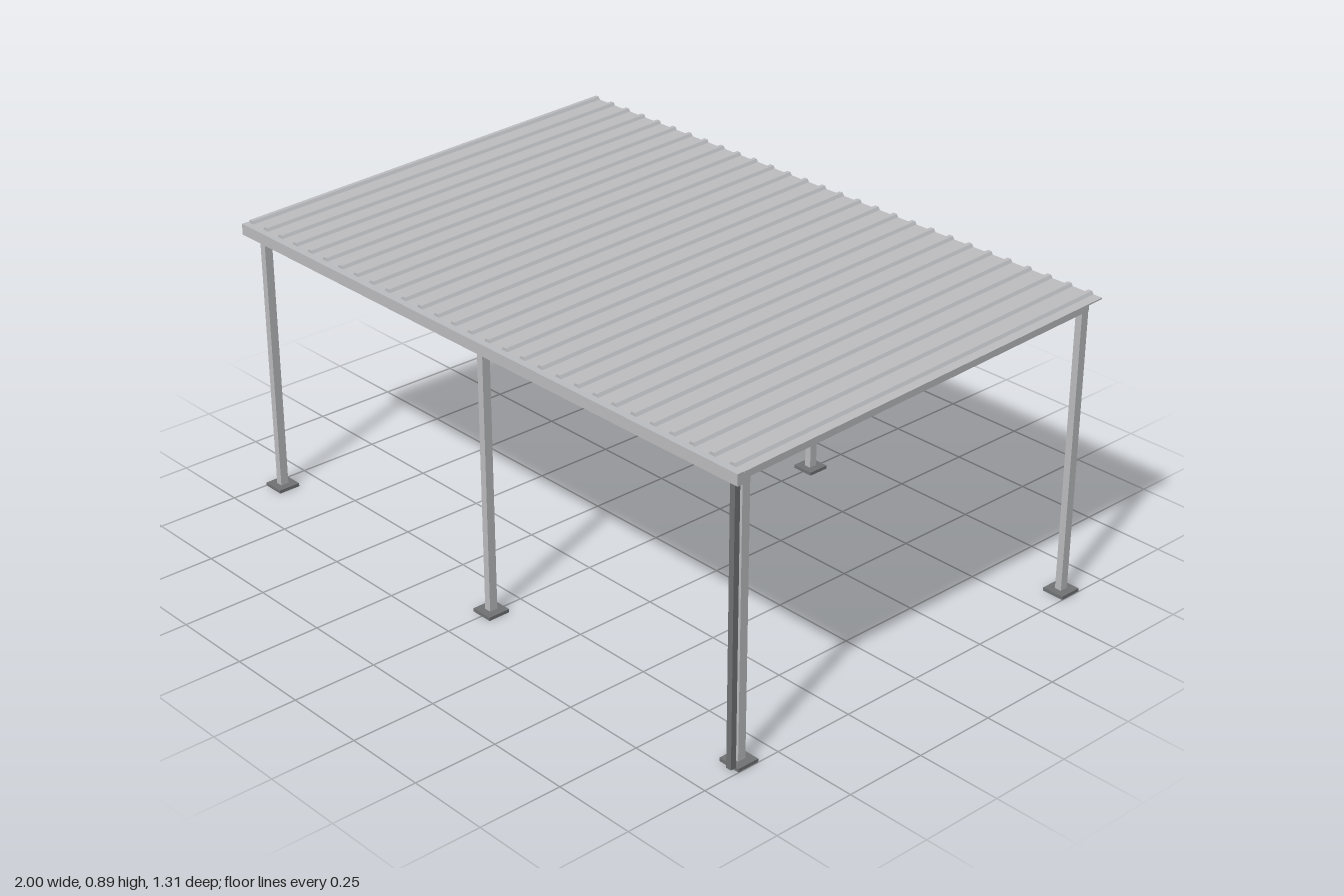
import * as THREE from 'three';

const SLOPE = 0.036; // roof rise per unit towards the back

// Shear a geometry so that it follows the roof pitch
function pitch(geo) {
  const p = geo.attributes.position;
  for (let i = 0; i < p.count; i++) p.setY(i, p.getY(i) - SLOPE * p.getZ(i));
  geo.computeVertexNormals();
  return geo;
}

// Box given by its limits on each axis
function box(x0, x1, y0, y1, z0, z1) {
  return new THREE.BoxGeometry(x1 - x0, y1 - y0, z1 - z0)
    .translate((x0 + x1) / 2, (y0 + y1) / 2, (z0 + z1) / 2);
}

export function createModel() {
  const group = new THREE.Group();
  const steel = new THREE.MeshStandardMaterial({ color: 0xbcbdc0 });
  steel.name = 'light grey steel';
  const dark = new THREE.MeshStandardMaterial({ color: 0x707275 });
  dark.name = 'dark grey steel';

  const add = (name, geo, mat) => {
    const mesh = new THREE.Mesh(geo, mat);
    mesh.name = name;
    group.add(mesh);
    return mesh;
  };

  // Three frames: two posts on base plates carrying a sloping rafter
  for (const x of [-0.965, 0, 0.965]) {
    for (const z of [0.602, -0.621]) {
      const top = 0.823 - SLOPE * z;
      add('post', box(x - 0.0105, x + 0.0105, 0.01, top, z - 0.0125, z + 0.0125), steel);
      add('basePlate', box(x - 0.034, x + 0.034, 0, 0.01, z - 0.034, z + 0.034), dark);
    }
    add('rafter', pitch(box(x - 0.0105, x + 0.0105, 0.822, 0.857, -0.635, 0.615)), steel);
  }

  // Roof sheet with raised trapezoid ribs
  add('roofSheet', pitch(box(-1, 1, 0.857, 0.861, -0.655, 0.633)), steel);
  const profile = new THREE.Shape([
    new THREE.Vector2(-0.012, 0), new THREE.Vector2(0.012, 0),
    new THREE.Vector2(0.006, 0.009), new THREE.Vector2(-0.006, 0.009),
  ]);
  const ribGeo = pitch(new THREE.ExtrudeGeometry(profile, { depth: 1.288, bevelEnabled: false })
    .translate(0, 0.8605, -0.655));
  for (let i = 0; i < 29; i++) {
    add('roofRib', ribGeo, steel).position.x = -0.986 + i * 0.0695;
  }

  // Gutter along the low front edge, with a downpipe at the left end
  add('gutter', box(-1, 1, 0.806, 0.839, 0.634, 0.655), steel);
  add('downpipe', box(0.974, 0.991, 0.01, 0.806, 0.637, 0.654), dark);

  return group;
}
